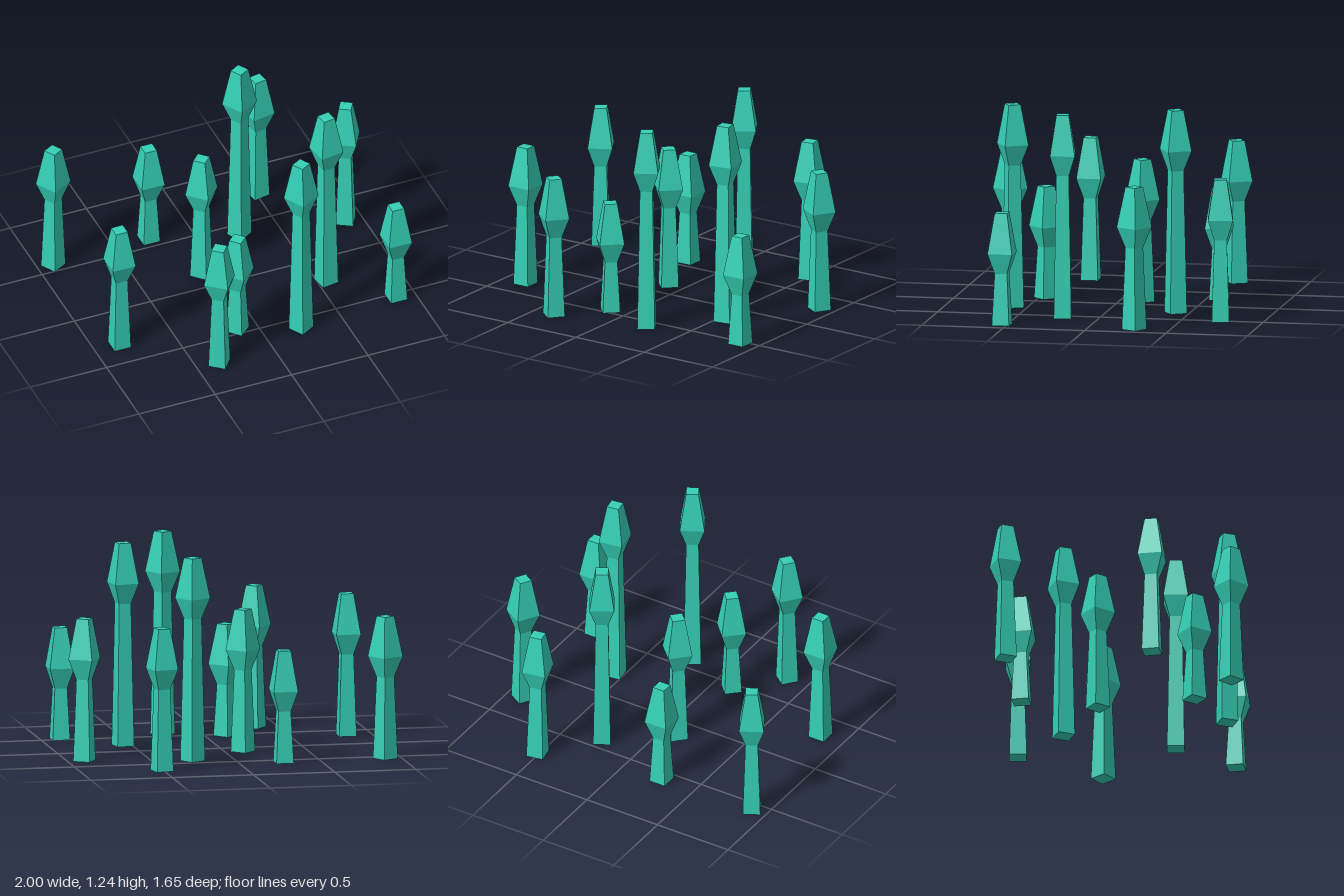
import * as THREE from 'three';

// Square post with a flared, faceted head; the head is the same size at every height.
function postGeometry(height) {
  const profile = [
    [0, 0],
    [0.053, 0],               // foot
    [0.038, height - 0.37],   // neck
    [0.075, height - 0.245],  // widest part of the head
    [0.038, height],          // flat tip
    [0, height],
  ].map(([halfWidth, y]) => new THREE.Vector2(halfWidth * Math.SQRT2, y));
  return new THREE.LatheGeometry(profile, 4).rotateY(Math.PI / 4);
}

export function createModel() {
  const group = new THREE.Group();
  group.name = 'postCluster';
  const material = new THREE.MeshStandardMaterial({ color: 0x35cfb5, flatShading: true });

  const geometries = {
    short: postGeometry(0.685),
    medium: postGeometry(0.87),
    tall: postGeometry(1.24),
  };

  // size, x, z, turn in degrees
  const posts = [
    ['medium', -0.9, -0.565, 30],
    ['short', -0.27, -0.58, 0],
    ['medium', 0.51, -0.74, 11],
    ['tall', 0.255, -0.415, 31],
    ['medium', 0.895, -0.285, -31],
    ['medium', -0.11, -0.14, 45],
    ['medium', -0.84, 0.32, 0],
    ['short', -0.125, 0.455, 43],
    ['tall', 0.555, 0.22, 9],
    ['tall', 0.235, 0.59, 30],
    ['short', 0.88, 0.53, 0],
    ['medium', -0.355, 0.72, -39],
  ];

  posts.forEach(([size, x, z, turn], i) => {
    const post = new THREE.Mesh(geometries[size], material);
    post.name = `${size}Post${i + 1}`;
    post.position.set(x, 0, z);
    post.rotation.y = THREE.MathUtils.degToRad(turn);
    group.add(post);
  });

  return group;
}
